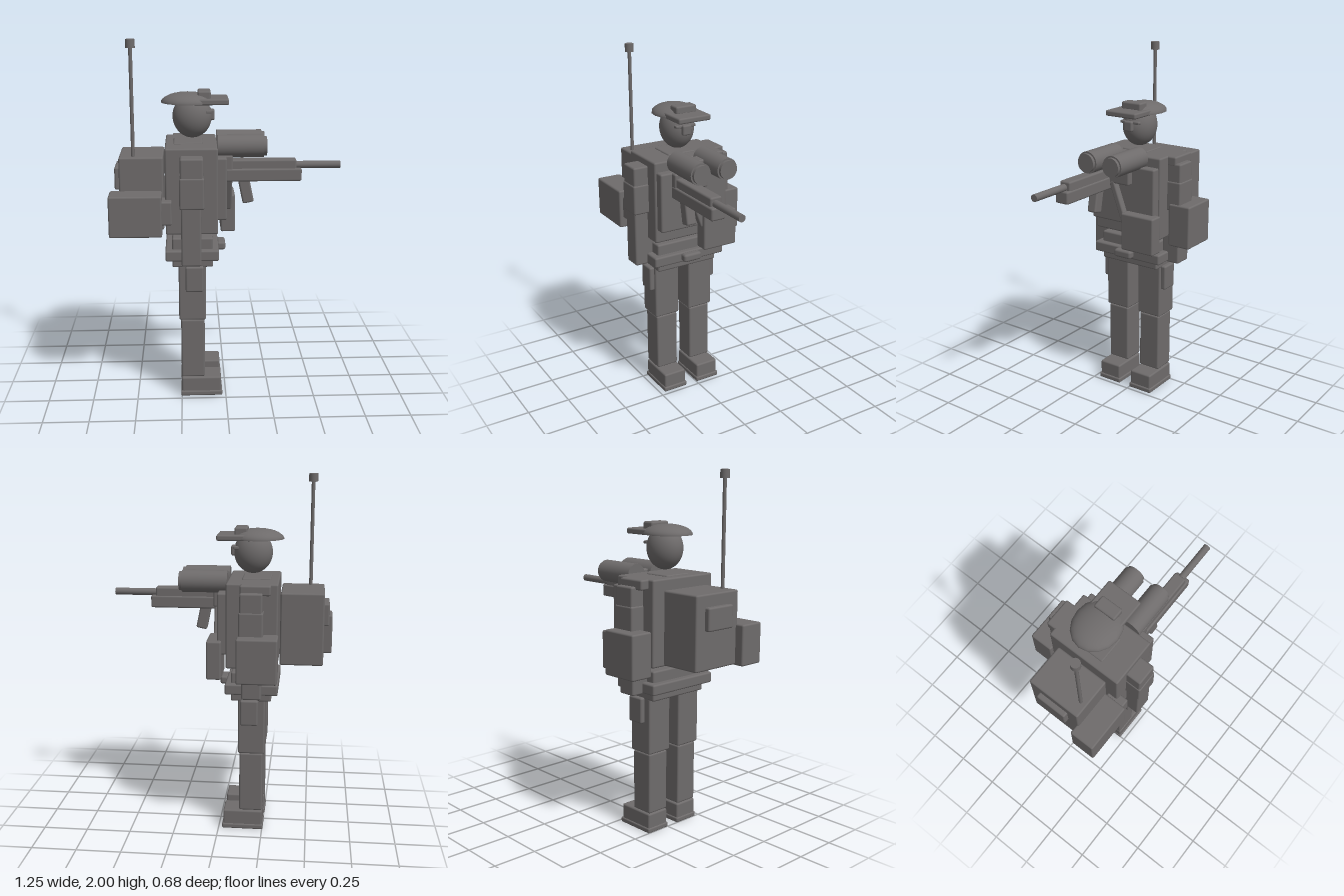
import * as THREE from 'three';
import { RoundedBoxGeometry } from 'three/addons/geometries/RoundedBoxGeometry.js';

export function createModel() {
  const model = new THREE.Group();
  model.name = 'soldierFigure';
  const grey = new THREE.MeshStandardMaterial({ color: 0x6e6b6b });
  grey.name = 'warmGrey';

  function add(name, geometry, x, y, z) {
    const mesh = new THREE.Mesh(geometry, grey);
    mesh.name = name;
    mesh.position.set(x, y, z);
    model.add(mesh);
    return mesh;
  }
  // Bevelled box given by its limits on each axis
  function box(name, [x0, x1], [y0, y1], [z0, z1], bevel = 0.01) {
    const w = x1 - x0, h = y1 - y0, d = z1 - z0;
    const r = Math.min(bevel, Math.min(w, h, d) * 0.3);
    return add(name, new RoundedBoxGeometry(w, h, d, 2, r), (x0 + x1) / 2, (y0 + y1) / 2, (z0 + z1) / 2);
  }
  // Cylinder lying along x
  function tubeX(name, r, x0, x1, y, z) {
    const geometry = new THREE.CylinderGeometry(r, r, x1 - x0, 32).rotateZ(Math.PI / 2);
    return add(name, geometry, (x0 + x1) / 2, y, z);
  }

  // Legs and boots; the figure looks along +x
  const mid = 0.036;
  for (const s of [1, -1]) {
    const z = mid + s * 0.111;
    const around = (half) => [z - half, z + half];
    box('bootSole', [-0.255, -0.02], [0, 0.03], around(0.076));
    box('boot', [-0.25, -0.027], [0.02, 0.112], around(0.07));
    box('lowerLeg', [-0.25, -0.118], [0.115, 0.462], around(0.067));
    box('upperLeg', [-0.26, -0.11], [0.465, 0.785], around(0.077));
    const outer = mid + s * 0.2;
    box('thighPouch', [-0.222, -0.123], [0.64, 0.785], [outer - 0.017, outer + 0.017]);
  }

  // Hips and belt
  box('pelvis', [-0.293, -0.07], [0.775, 0.942], [-0.155, 0.225]);
  box('belt', [-0.33, -0.038], [0.82, 0.88], [-0.19, 0.26]);
  box('beltBuckle', [-0.045, 0.003], [0.83, 0.877], [-0.02, 0.093], 0.014);

  // Torso and chest gear
  box('torso', [-0.325, -0.043], [0.97, 1.44], [-0.19, 0.252]);
  box('chestPlate', [-0.06, 0.005], [1.045, 1.385], [-0.18, 0.24]);
  box('collar', [-0.28, -0.12], [1.42, 1.447], [-0.05, 0.12]);
  box('shoulderPlate', [-0.287, -0.122], [1.385, 1.44], [-0.24, -0.15]);
  box('frontPouch', [-0.02, 0.062], [0.91, 1.125], [-0.213, 0.0]);
  const sling = box('sling', [0, 0.042], [1.04, 1.3], [0.017, 0.053]);
  sling.rotation.x = 0.36;

  // Arms
  box('rightShoulderPad', [-0.245, -0.123], [1.28, 1.402], [0.24, 0.337]);
  box('rightUpperArm', [-0.25, -0.118], [1.13, 1.3], [0.24, 0.342]);
  box('rightForearm', [-0.242, -0.135], [0.815, 1.14], [0.222, 0.332]);
  box('leftShoulderPad', [-0.245, -0.123], [1.28, 1.402], [-0.27, -0.18]);
  box('leftUpperArm', [-0.25, -0.118], [1.13, 1.3], [-0.274, -0.18]);
  box('leftForearm', [-0.242, -0.135], [0.815, 1.14], [-0.258, -0.15]);
  box('leftSidePouch', [-0.33, -0.11], [0.925, 1.172], [-0.34, -0.205]);

  // Backpack, pouches and antenna
  box('backpack', [-0.573, -0.335], [0.98, 1.382], [-0.125, 0.19]);
  box('backpackFlap', [-0.602, -0.56], [1.19, 1.315], [-0.122, 0.062].map((v) => -v).reverse());
  box('backpackSidePouch', [-0.625, -0.343], [0.975, 1.2], [0.175, 0.322]);
  box('pouchStrap', [-0.36, -0.29], [1.035, 1.165], [0.19, 0.3]);
  add('antenna', new THREE.CylinderGeometry(0.01, 0.01, 0.6, 16), -0.495, 1.67, 0.152);
  add('antennaTip', new THREE.CylinderGeometry(0.025, 0.025, 0.045, 20), -0.495, 1.9775, 0.152);

  // Binoculars
  for (const z of [-0.05, 0.115]) {
    tubeX('binocularBarrel', 0.061, -0.042, 0.208, 1.427, z);
    tubeX('binocularLens', 0.052, 0.2, 0.225, 1.427, z);
  }
  box('binocularBridge', [-0.02, 0.065], [1.395, 1.45], [-0.02, 0.085]);

  // Rifle
  box('rifleStock', [-0.03, 0.04], [1.28, 1.385], [-0.037, 0.172]);
  box('rifleBody', [0, 0.385], [1.285, 1.36], [0.095, 0.165]);
  box('rifleHandguard', [0, 0.413], [1.242, 1.312], [0.09, 0.175]);
  tubeX('rifleBarrel', 0.02, 0.37, 0.625, 1.326, 0.134);
  const magazine = box('rifleMagazine', [0.08, 0.142], [1.12, 1.265], [0.107, 0.165]);
  magazine.rotation.z = 0.2;

  // Head and face
  const head = add('head', new THREE.SphereGeometry(1, 32, 24), -0.176, 1.58, mid);
  head.scale.set(0.107, 0.117, 0.093);
  box('nose', [-0.085, -0.054], [1.56, 1.617], [0.01, 0.064]);
  box('glasses', [-0.1, -0.071], [1.6, 1.616], [-0.026, 0.098]);

  // Cap with a flat dome, brim and badge
  const dome = add('capDome', new THREE.SphereGeometry(1, 16, 8, 0, Math.PI * 2, 0, Math.PI / 2), -0.2, 1.655, 0.031);
  dome.scale.set(0.145, 0.056, 0.127);
  const base = add('capUnderside', new THREE.CircleGeometry(1, 16).rotateX(Math.PI / 2), -0.2, 1.655, 0.031);
  base.scale.set(0.145, 1, 0.127);
  box('capBrim', [-0.17, 0.021], [1.65, 1.682], [-0.067, 0.133]);
  box('capBadge', [-0.146, -0.075], [1.675, 1.72], [-0.093, 0.033].map((v) => -v).reverse());

  return model;
}
